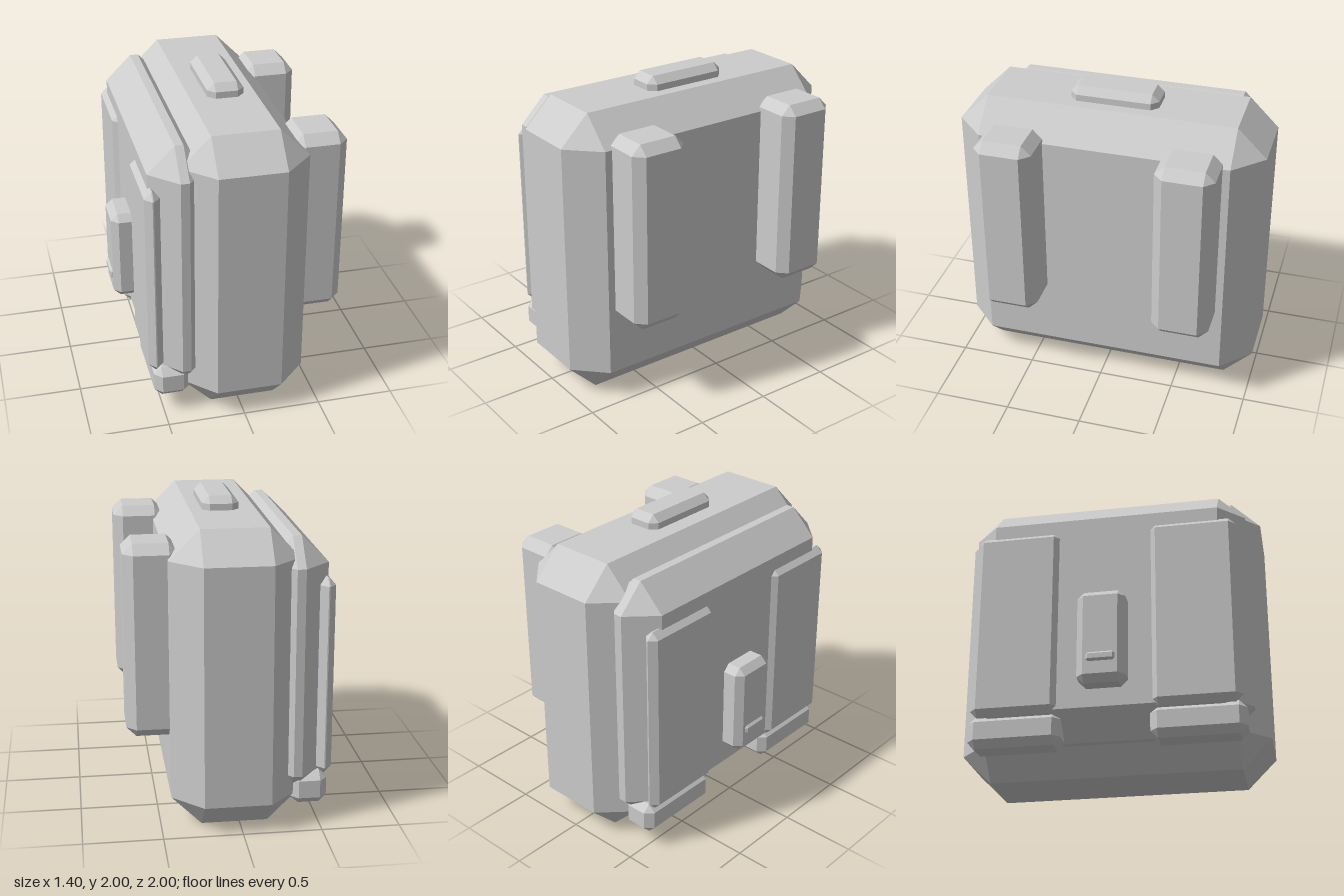
import * as THREE from 'three';
import { ConvexGeometry } from 'three/addons/geometries/ConvexGeometry.js';

// Box with flat chamfers of size c on every edge and small triangles at the corners
function chamferBox([x0, x1], [y0, y1], [z0, z1], c) {
  const half = [(x1 - x0) / 2, (y1 - y0) / 2, (z1 - z0) / 2];
  const points = [];
  for (const sx of [-1, 1]) for (const sy of [-1, 1]) for (const sz of [-1, 1]) {
    for (let axis = 0; axis < 3; axis++) {
      const h = half.map((v, i) => (i === axis ? v : v - c));
      points.push(new THREE.Vector3(sx * h[0], sy * h[1], sz * h[2]));
    }
  }
  const geometry = new ConvexGeometry(points);
  geometry.translate((x0 + x1) / 2, (y0 + y1) / 2, (z0 + z1) / 2);
  return geometry;
}

export function createModel() {
  const group = new THREE.Group();
  group.name = 'backpack';
  const fabric = new THREE.MeshStandardMaterial({ color: 0xcccccc });
  fabric.name = 'light grey fabric';

  const add = (name, x, y, z, c) => {
    const mesh = new THREE.Mesh(chamferBox(x, y, z, c), fabric);
    mesh.name = name;
    group.add(mesh);
  };

  // Main bag, the panel on its outer side, and the carry handle
  add('mainBag', [-0.37, 0.432], [0, 1.912], [-1, 1], 0.19);
  add('outerPanel', [-0.555, -0.16], [0.16, 1.842], [-0.912, 0.912], 0.17);
  add('carryHandle', [-0.07, 0.165], [1.82, 2], [-0.287, 0.287], 0.046);

  // Small central pocket with its pull tab
  add('smallPocket', [-0.69, -0.5], [0.45, 1.075], [-0.157, 0.153], 0.045);
  add('pullTab', [-0.705, -0.65], [0.578, 0.638], [-0.092, 0.092], 0.014);

  // Paired parts, mirrored front to back
  for (const [side, s] of [['front', 1], ['back', -1]]) {
    const span = (a, b) => (s > 0 ? [a, b] : [-b, -a]);
    add(side + 'ShoulderStrap', [0.357, 0.7], [0.575, 1.81], span(0.387, 0.762), 0.062);
    add(side + 'FlatPocket', [-0.588, -0.492], [0.31, 1.588], span(0.292, 0.857), 0.044);
    add(side + 'BottomRoll', [-0.557, -0.325], [0.116, 0.328], span(0.28, 0.875), 0.048);
  }
  return group;
}
